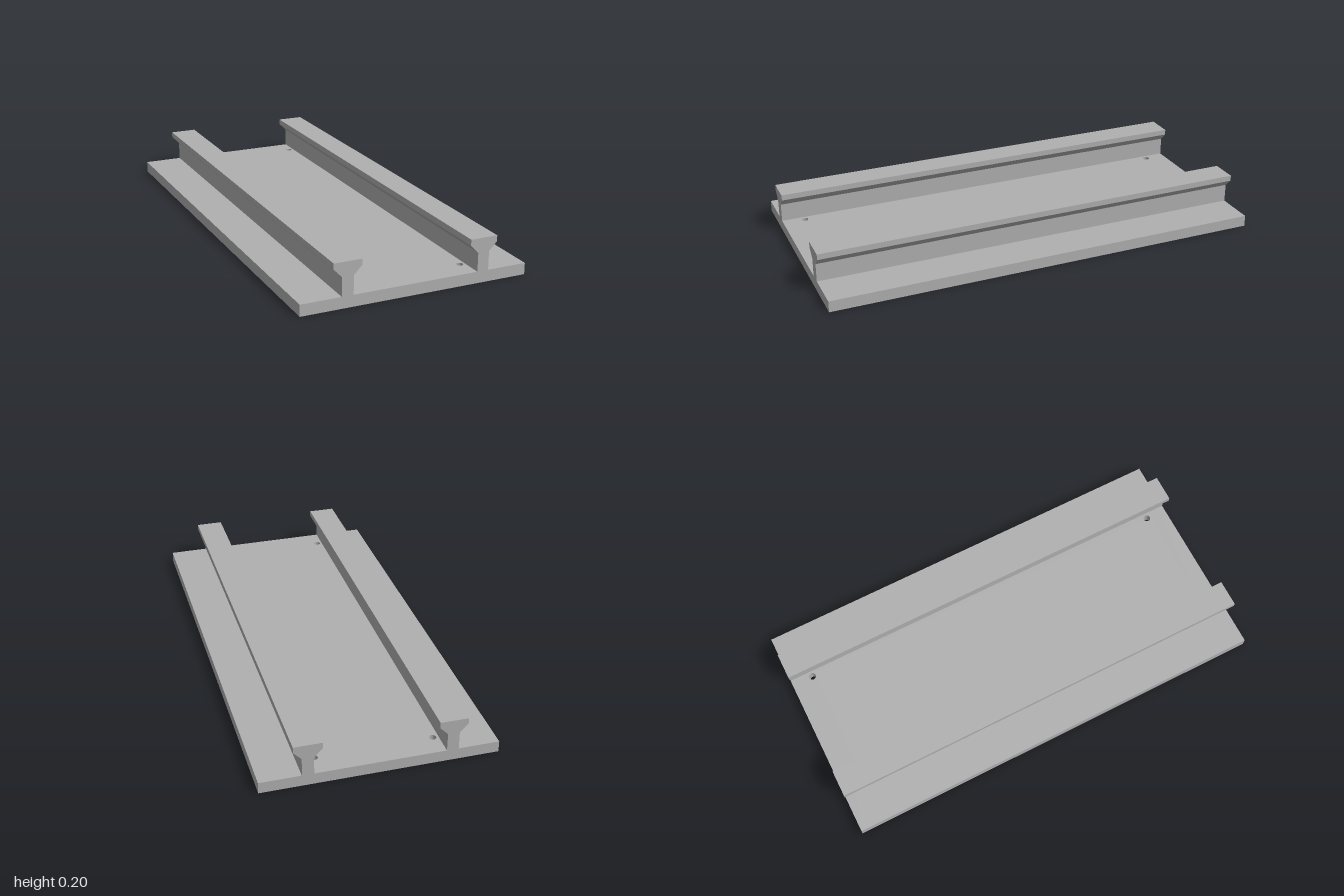
import * as THREE from 'three';

const LENGTH = 2, HALF_WIDTH = 0.5125, PLATE = 0.051;
const RAIL_X = 0.3075, HOLE_X = 0.256, HOLE_Z = 0.9, HOLE_R = 0.016;

export function createModel() {
  const model = new THREE.Group();
  model.name = 'railTrack';
  const grey = new THREE.MeshStandardMaterial({ color: 0xb0b0b0 });
  grey.name = 'grey';

  // Base plate with four through holes, drawn flat and laid down
  const outline = new THREE.Shape([
    [-HALF_WIDTH, -1], [HALF_WIDTH, -1], [HALF_WIDTH, 1], [-HALF_WIDTH, 1],
  ].map(([x, y]) => new THREE.Vector2(x, y)));
  for (const sx of [-1, 1]) {
    for (const sz of [-1, 1]) {
      const hole = new THREE.Path();
      hole.absarc(sx * HOLE_X, sz * HOLE_Z, HOLE_R, 0, Math.PI * 2, true);
      outline.holes.push(hole);
    }
  }
  const plateGeometry = new THREE.ExtrudeGeometry(outline, {
    depth: PLATE, bevelEnabled: false, curveSegments: 24,
  });
  plateGeometry.rotateX(-Math.PI / 2);
  const plate = new THREE.Mesh(plateGeometry, grey);
  plate.name = 'basePlate';
  model.add(plate);

  // Rail section: narrow web flaring into a wide head
  const half = [[0.0256, PLATE], [0.0256, 0.134], [0.0615, 0.171], [0.0615, 0.197]];
  const section = new THREE.Shape([
    ...half.map(([x, y]) => new THREE.Vector2(x, y)),
    ...half.slice().reverse().map(([x, y]) => new THREE.Vector2(-x, y)),
  ]);
  const railGeometry = new THREE.ExtrudeGeometry(section, { depth: LENGTH, bevelEnabled: false });
  railGeometry.translate(0, 0, -LENGTH / 2);
  for (const side of [-1, 1]) {
    const rail = new THREE.Mesh(railGeometry, grey);
    rail.name = side > 0 ? 'leftRail' : 'rightRail';
    rail.position.x = side * RAIL_X;
    model.add(rail);
  }

  return model;
}
